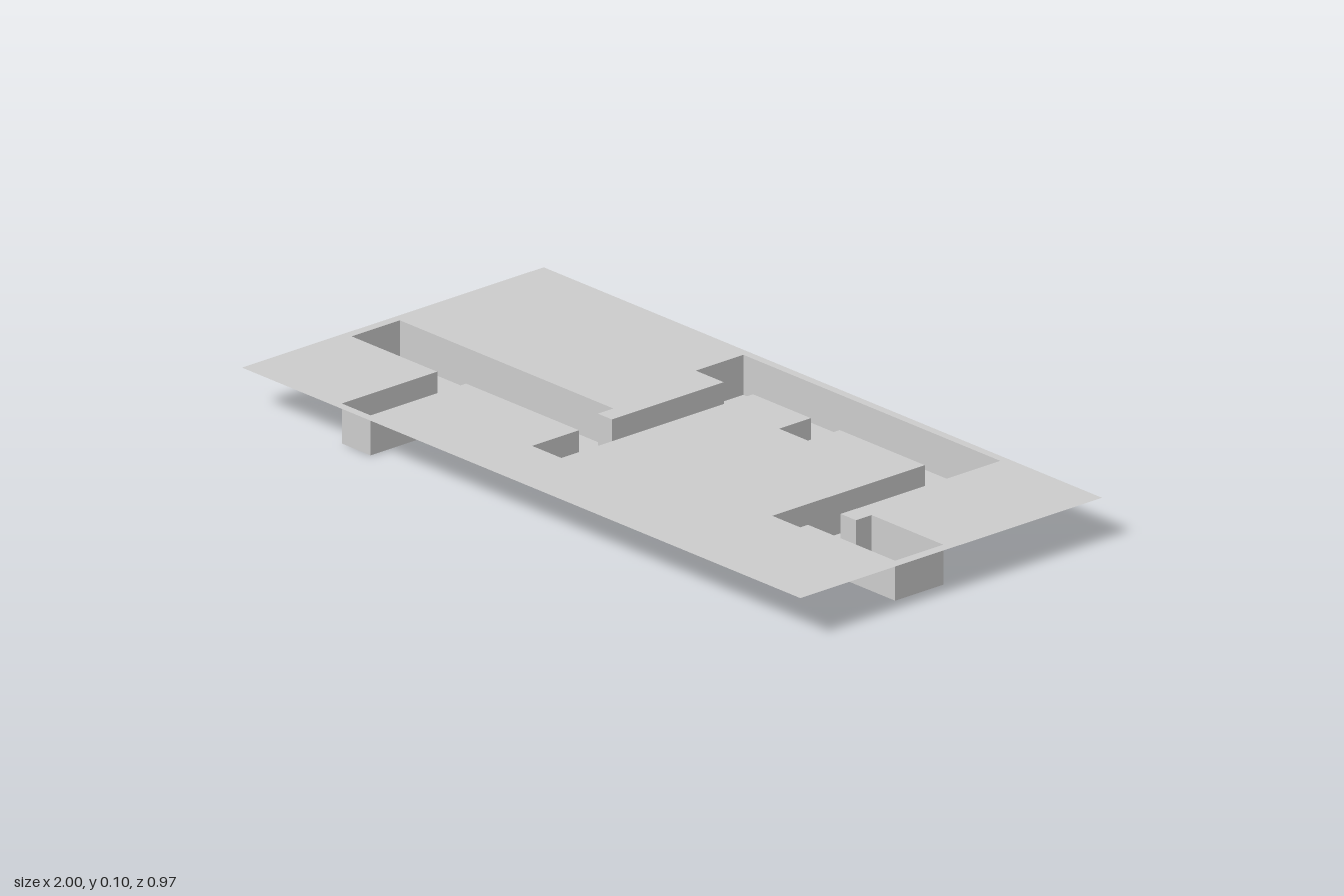
import * as THREE from 'three';

const DEPTH = 0.103;
const HALF_X = 1, HALF_Z = 0.485;

// Outline of the recessed channel as [x, z]
const outline = [
  [-0.975, 0], [-0.21, 0], [-0.21, 0.05], [-0.16, 0.05], [-0.16, -0.31],
  [-0.26, -0.31], [-0.26, -0.463], [0.66, -0.463], [0.66, 0.05], [0.715, 0.05],
  [0.715, 0], [0.972, 0], [0.972, 0.155], [0.66, 0.155], [0.66, 0.18],
  [0.56, 0.18], [0.56, -0.31], [0.255, -0.31], [0.255, -0.208], [0.152, -0.208],
  [0.152, -0.31], [-0.055, -0.31], [-0.055, 0.306], [-0.16, 0.306], [-0.16, 0.155],
  [-0.565, 0.155], [-0.565, 0.462], [-0.668, 0.462], [-0.668, 0.155], [-0.975, 0.155],
];

export function createModel() {
  const group = new THREE.Group();
  const material = new THREE.MeshStandardMaterial({ color: 0xcccccc, side: THREE.DoubleSide });
  const add = (name, geometry, parent = group) => {
    const mesh = new THREE.Mesh(geometry, material);
    mesh.name = name;
    parent.add(mesh);
    return mesh;
  };
  const points = outline.map(([x, z]) => new THREE.Vector2(x, -z));
  const flat = (shape) => new THREE.ShapeGeometry(shape).rotateX(-Math.PI / 2);

  // Thin top sheet with the channel cut out
  const sheet = new THREE.Shape([
    new THREE.Vector2(-HALF_X, -HALF_Z), new THREE.Vector2(HALF_X, -HALF_Z),
    new THREE.Vector2(HALF_X, HALF_Z), new THREE.Vector2(-HALF_X, HALF_Z),
  ]);
  sheet.holes.push(new THREE.Path(points));
  add('topSheet', flat(sheet)).position.y = DEPTH;

  // Channel floor
  add('channelFloor', flat(new THREE.Shape(points)));

  // Upright walls following the outline, facing into the channel
  const walls = new THREE.Group();
  walls.name = 'channelWalls';
  group.add(walls);
  outline.forEach(([x0, z0], i) => {
    const [x1, z1] = outline[(i + 1) % outline.length];
    const wall = add('channelWall', new THREE.PlaneGeometry(Math.hypot(x1 - x0, z1 - z0), DEPTH), walls);
    wall.position.set((x0 + x1) / 2, DEPTH / 2, (z0 + z1) / 2);
    wall.rotation.y = -Math.atan2(z1 - z0, x1 - x0);
  });

  return group;
}
